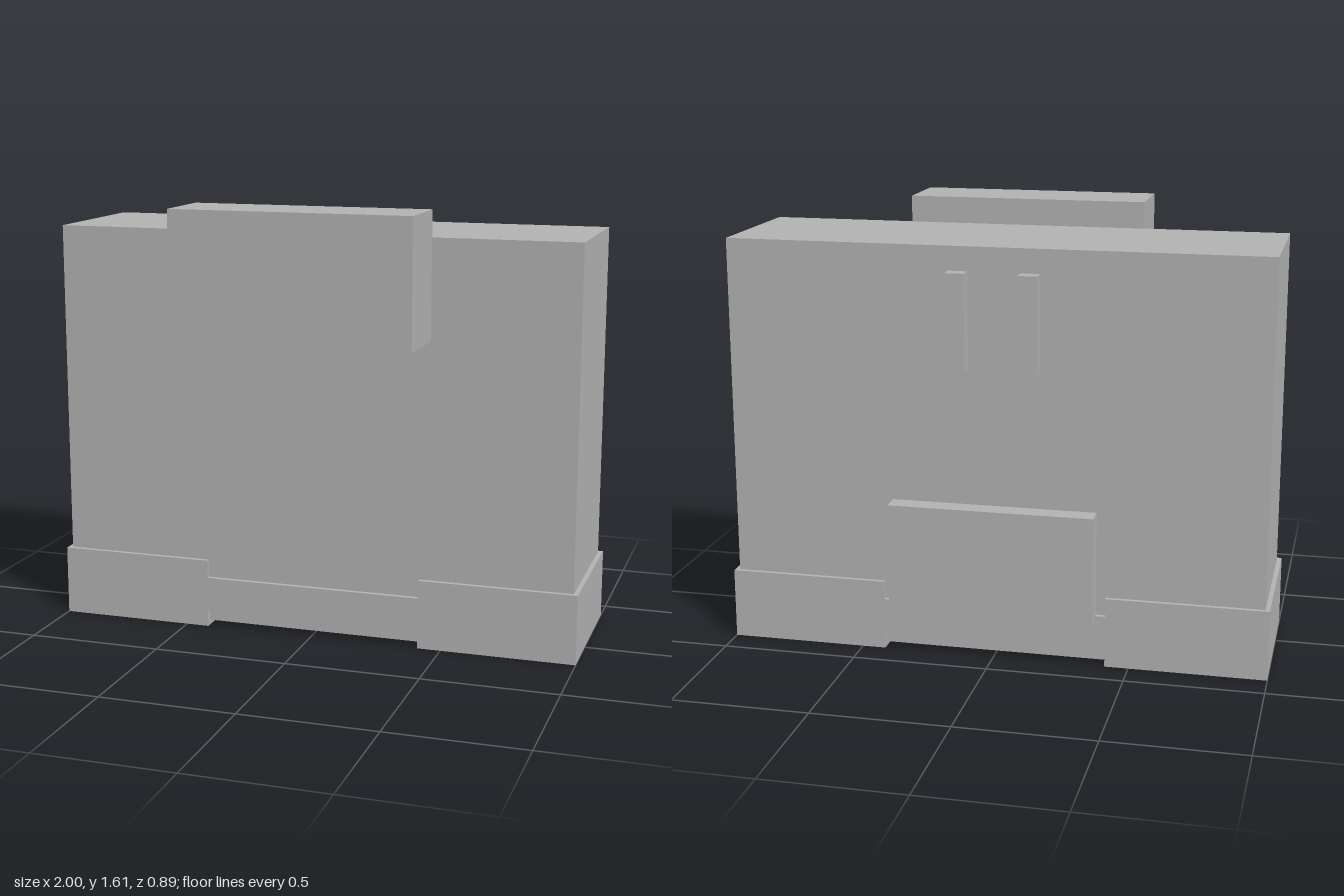
import * as THREE from 'three';

export function createModel() {
  const model = new THREE.Group();
  const grey = new THREE.MeshStandardMaterial({ color: 0xb2b2b2 });
  grey.name = 'light grey';

  function add(name, geometry) {
    const mesh = new THREE.Mesh(geometry, grey);
    mesh.name = name;
    model.add(mesh);
  }

  // Box given by its extents along each axis
  function addBox(name, [x0, x1], [y0, y1], [z0, z1]) {
    const geometry = new THREE.BoxGeometry(x1 - x0, y1 - y0, z1 - z0);
    geometry.translate((x0 + x1) / 2, (y0 + y1) / 2, (z0 + z1) / 2);
    add(name, geometry);
  }

  // Main case
  addBox('body', [-0.983, 0.983], [0.02, 1.515], [-0.37, 0.183]);

  // Base band, narrowed in the middle above and below
  const w = 0.413;
  const outline = [
    [-1, 0], [-w, 0], [-w, 0.063], [w, 0.063], [w, 0], [1, 0],
    [1, 0.26], [w, 0.26], [w, 0.192], [-w, 0.192], [-w, 0.26], [-1, 0.26],
  ];
  const shape = new THREE.Shape(outline.map(([x, y]) => new THREE.Vector2(x, y)));
  const base = new THREE.ExtrudeGeometry(shape, { depth: 0.586, bevelEnabled: false });
  base.translate(0, 0, -0.386);
  add('baseBand', base);

  // Raised block at the top of the front
  addBox('frontBlock', [-0.446, 0.446], [1.145, 1.613], [0.18, 0.447]);

  // Low panel on the back
  addBox('backPanel', [-0.377, 0.377], [0.18, 0.577], [-0.447, -0.365]);

  // Pair of upright bars on the back
  addBox('rightBackBar', [-0.168, -0.098], [1.077, 1.427], [-0.424, -0.365]);
  addBox('leftBackBar', [0.092, 0.162], [1.077, 1.427], [-0.424, -0.365]);

  return model;
}
